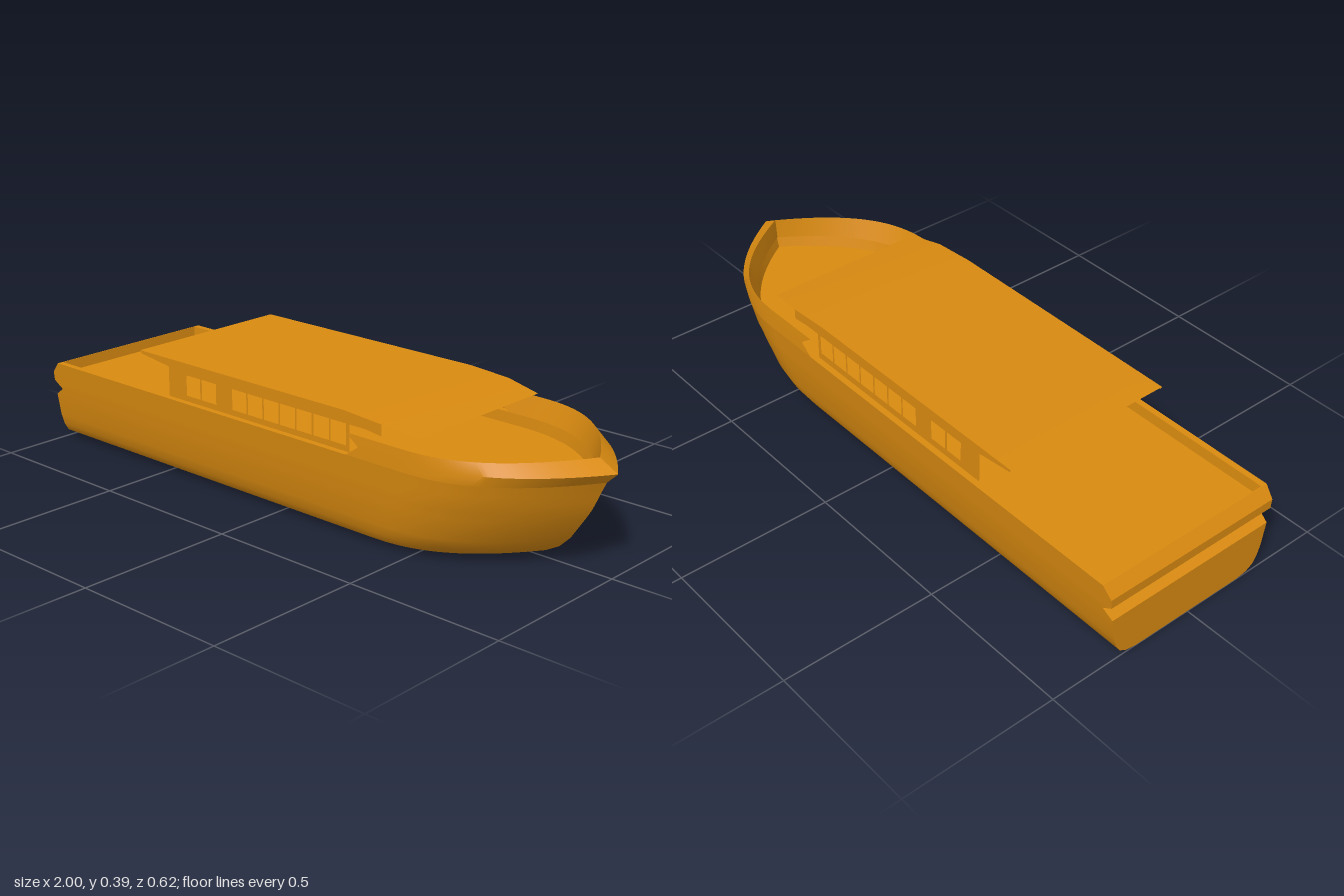
import * as THREE from 'three';
import { toCreasedNormals } from 'three/addons/utils/BufferGeometryUtils.js';

const paint = new THREE.MeshStandardMaterial({ color: 0xd98a10, side: THREE.DoubleSide });

// A level is one waterline: height y, half width w, stern end x0,
// start of the bow curve xs and stem position xe.
const level = (y, w, x0, xs, xe) => ({ y, w, x0, xs, xe });

// Points of a level on one side, running from stern to stem.
function waterline({ y, w, x0, xs, xe }, side) {
  const pts = [];
  for (let i = 0; i < 8; i++) pts.push([x0 + (xs - x0) * i / 8, y, side * w]);
  for (let i = 0; i <= 32; i++) {
    const t = i / 32;
    pts.push([xs + (xe - xs) * t, y, side * w * (1 - t ** 2.5)]);
  }
  return pts;
}

// Skin a list of equally long point rows.
function skin(name, rows) {
  const n = rows[0].length, index = [];
  for (let r = 0; r < rows.length - 1; r++) {
    for (let i = 0; i < n - 1; i++) {
      const a = r * n + i, b = a + n;
      index.push(a, a + 1, b + 1, a, b + 1, b);
    }
  }
  const geo = new THREE.BufferGeometry();
  geo.setAttribute('position', new THREE.Float32BufferAttribute(rows.flat(2), 3));
  geo.setIndex(index);
  return part(name, toCreasedNormals(geo, 0.7));
}

function part(name, geo) {
  const mesh = new THREE.Mesh(geo, paint);
  mesh.name = name;
  return mesh;
}

// Port and starboard skins through the same levels.
function bothSides(name, levels) {
  const group = new THREE.Group();
  group.name = name;
  for (const side of [1, -1]) {
    const rows = levels.map(l => waterline(l, side));
    group.add(skin(name + (side > 0 ? 'Near' : 'Far'), side > 0 ? rows : rows.reverse()));
  }
  return group;
}

// Flat surface between the two sides of one level.
const plate = (name, l, up) => skin(name, [waterline(l, up ? 1 : -1), waterline(l, up ? -1 : 1)]);

// Cabin side: fascia and wall in one outline, with window openings.
function cabinSide() {
  const outline = [
    [-0.58, 0.388], [-0.575, 0.378], [-0.45, 0.362], [-0.45, 0.235], [0.302, 0.235],
    [0.302, 0.35], [0.36, 0.35], [0.42, 0.343], [0.42, 0.378], [0.28, 0.388]];
  const shape = new THREE.Shape(outline.map(p => new THREE.Vector2(...p)));
  const windows = [[-0.37, -0.31], [-0.302, -0.24]];
  for (let i = 0; i < 7; i++) windows.push([-0.17 + i * 0.0665, -0.11 + i * 0.0665]);
  for (const [a, b] of windows) {
    shape.holes.push(new THREE.Path([[a, 0.285], [a, 0.35], [b, 0.35], [b, 0.285]]
      .map(p => new THREE.Vector2(...p))));
  }
  return new THREE.ShapeGeometry(shape);
}

export function createModel() {
  const model = new THREE.Group();
  model.name = 'boat';

  // Hull, with a V groove and a chamfer across the stern
  const hull = [
    level(0.000, 0.200, -1, 0.30, 0.68),
    level(0.006, 0.235, -1, 0.32, 0.73),
    level(0.020, 0.260, -1, 0.35, 0.78),
    level(0.045, 0.275, -1, 0.38, 0.825),
    level(0.080, 0.286, -1, 0.41, 0.86),
    level(0.155, 0.298, -1, 0.45, 0.91),
    level(0.180, 0.302, -0.965, 0.46, 0.925),
    level(0.205, 0.305, -1, 0.48, 0.937),
    level(0.235, 0.308, -1, 0.49, 0.95),
    level(0.270, 0.312, -0.97, 0.50, 0.967)];
  model.add(bothSides('hullSide', hull));
  model.add(plate('hullBottom', hull[0], false));
  model.add(skin('transom', hull.map(l => [[l.x0, l.y, -l.w], [l.x0, l.y, l.w]])));

  // Side rail and sunken deck
  const railInner = level(0.27, 0.292, -0.968, 0.46, 0.94);
  const deckEdge = level(0.235, 0.29, -0.965, 0.44, 0.93);
  model.add(bothSides('rail', [hull[9], railInner, deckEdge]));
  model.add(plate('deck', deckEdge, true));
  model.add(skin('sternInnerWall', [hull[9], railInner, deckEdge]
    .map(l => [[l.x0, l.y, -l.w], [l.x0, l.y, l.w]])));

  // Bow bulwark with a pointed outer flange
  model.add(bothSides('bulwark', [
    level(0.270, 0.312, 0.31, 0.50, 0.967),
    level(0.302, 0.311, 0.355, 0.50, 1.0),
    level(0.335, 0.309, 0.31, 0.50, 0.94),
    level(0.270, 0.292, 0.42, 0.46, 0.935)]));

  // Cabin sides, open at both ends
  for (const side of [1, -1]) {
    const wall = part('cabinSide', cabinSide());
    wall.position.z = side * 0.286;
    model.add(wall);
  }

  // Thin roof dipping toward the bow
  const roof = [[-0.58, 0.388, 0.287], [0.28, 0.388, 0.287], [0.42, 0.378, 0.287], [0.54, 0.36, 0.27]];
  model.add(skin('roof', [1, -1].map(s => roof.map(([x, y, w]) => [x, y, s * w]))));

  return model;
}
